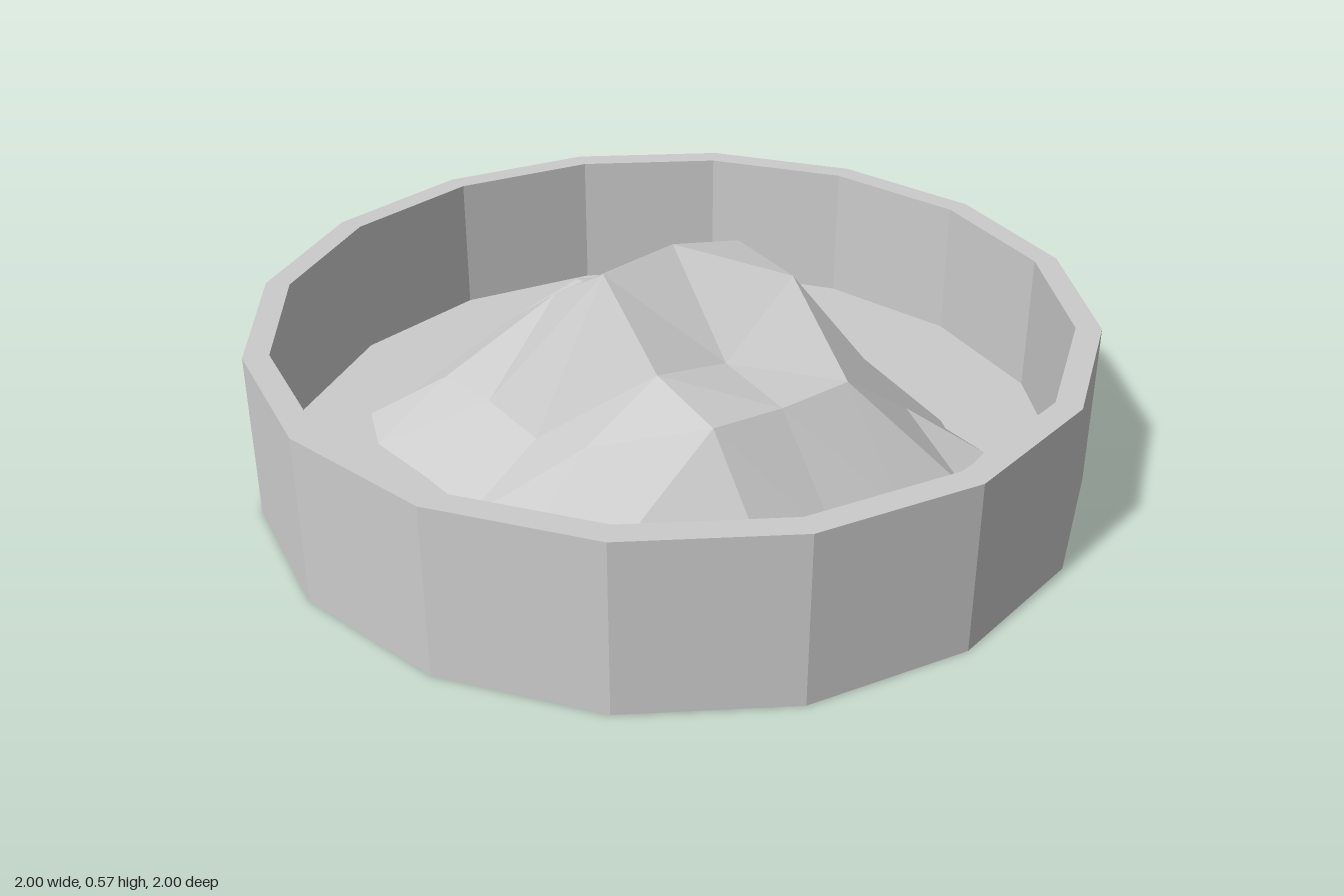
import * as THREE from 'three';

const material = new THREE.MeshStandardMaterial({ color: 0xcccccc, flatShading: true });

// Sixteen-sided open tray: closed profile from the underside round the rim to the floor
function makeTray() {
  const radius = 1, inner = 0.94, height = 0.41, floor = 0.06;
  const profile = [
    [0, 0], [radius, 0], [radius, height], [inner, height], [inner, floor], [0, floor],
  ].map(([r, y]) => new THREE.Vector2(r, y));
  const tray = new THREE.Mesh(new THREE.LatheGeometry(profile, 16), material);
  tray.name = 'tray';
  return tray;
}

// Faceted heap: a grid of 0.2 squares lifted by a height field, back row first, x rising;
// its edges sink into the tray floor
function makeMound() {
  const heights = [
    [0.02, 0.015, 0.06, 0.05, 0.05, 0.02, 0.01],
    [0.045, 0.17, 0.24, 0.295, 0.25, 0.17, 0.05],
    [0.058, 0.28, 0.34, 0.525, 0.505, 0.31, 0.06],
    [0.05, 0.33, 0.35, 0.57, 0.34, 0.31, 0.055],
    [0.04, 0.28, 0.425, 0.55, 0.375, 0.33, 0.06],
    [0.04, 0.18, 0.2, 0.19, 0.26, 0.17, 0.01],
    [0.01, 0.06, 0.05, 0.05, 0.055, 0.04, 0.01],
  ];
  const geometry = new THREE.PlaneGeometry(1.2, 1.2, 6, 6).rotateX(-Math.PI / 2);
  heights.flat().forEach((h, i) => geometry.attributes.position.setY(i, h));
  geometry.computeVertexNormals();
  const mound = new THREE.Mesh(geometry, material);
  mound.name = 'mound';
  return mound;
}

export function createModel() {
  const group = new THREE.Group();
  group.name = 'trayWithMound';
  group.add(makeTray(), makeMound());
  return group;
}
